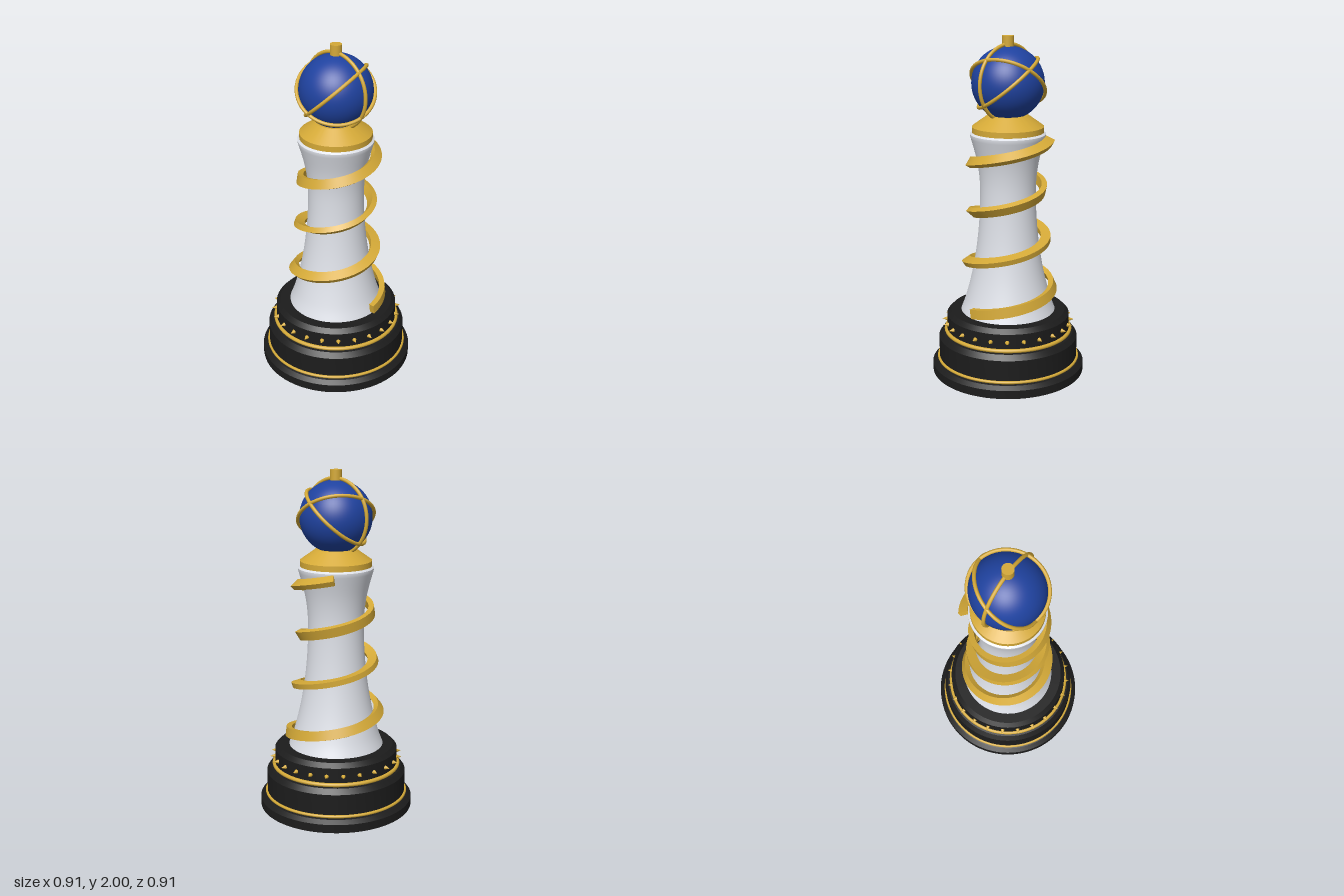
import * as THREE from 'three';
import { toCreasedNormals } from 'three/addons/utils/BufferGeometryUtils.js';

const mat = (name, color) => {
  const m = new THREE.MeshStandardMaterial({ color });
  m.name = name;
  return m;
};

// Spiral that climbs the column, its radius following the column's waist
class Spiral extends THREE.Curve {
  constructor() {
    super();
    const radii = [0.29, 0.272, 0.26, 0.246, 0.237, 0.226, 0.219, 0.215, 0.212, 0.208, 0.206, 0.212, 0.224, 0.236, 0.242];
    this.profile = new THREE.SplineCurve(radii.map((r, i) => new THREE.Vector2(i, r)));
  }
  getPoint(u, target = new THREE.Vector3()) {
    const turn = u * 3.35;
    const r = this.profile.getPoint(turn / 3.5).y;
    const a = turn * Math.PI * 2;
    return target.set(r * Math.cos(a), 0.42 + 0.297 * turn, -r * Math.sin(a));
  }
}

export function createModel() {
  const model = new THREE.Group();
  model.name = 'trophy';
  const black = mat('black', 0x1c1c1c);
  const gold = mat('gold', 0xd4a937);
  const white = mat('silver white', 0xe0e3ea);
  const blue = mat('blue', 0x1f429f);

  const add = (name, geometry, material, parent = model) => {
    const mesh = new THREE.Mesh(geometry, material);
    mesh.name = name;
    parent.add(mesh);
    return mesh;
  };
  const lathe = (pts) =>
    toCreasedNormals(new THREE.LatheGeometry(pts.map(([r, y]) => new THREE.Vector2(r, y)), 72), 0.35);

  // Stepped plinth
  add('plinth', lathe([
    [0, 0], [0.455, 0], [0.455, 0.05], [0.43, 0.07], [0.415, 0.075], [0.415, 0.215],
    [0.392, 0.245], [0.367, 0.25], [0.365, 0.355], [0.34, 0.38], [0, 0.38],
  ]), black);

  // Gold bands around the plinth
  for (const [name, r, tube, y] of [['lowerBand', 0.418, 0.009, 0.084], ['upperBand', 0.371, 0.012, 0.257]]) {
    const band = add(name, new THREE.TorusGeometry(r, tube, 10, 96), gold);
    band.rotation.x = Math.PI / 2;
    band.position.y = y;
  }

  // Ring of pointed studs
  const studs = new THREE.Group();
  studs.name = 'studs';
  model.add(studs);
  const studGeo = new THREE.ConeGeometry(0.014, 0.034, 12);
  studGeo.rotateZ(-Math.PI / 2);
  studGeo.translate(0.379, 0.306, 0);
  for (let i = 0; i < 24; i++) add('stud', studGeo, gold, studs).rotation.y = (i * Math.PI) / 12;

  // Waisted column with a flared top
  const side = new THREE.SplineCurve([
    [0.28, 0.38], [0.251, 0.46], [0.215, 0.6], [0.188, 0.75], [0.171, 0.9], [0.163, 1.05],
    [0.165, 1.18], [0.182, 1.3], [0.218, 1.435],
  ].map(([r, y]) => new THREE.Vector2(r, y))).getPoints(48).map((p) => [p.x, p.y]);
  add('column', lathe([...side, [0.218, 1.445], [0.2, 1.458], [0, 1.458]]), white);

  // Spiral ribbon
  const w = 0.016, h = 0.0285;
  const section = new THREE.Shape([
    new THREE.Vector2(-w, -h), new THREE.Vector2(w, -h), new THREE.Vector2(w, h), new THREE.Vector2(-w, h),
  ]);
  add('spiralRibbon', toCreasedNormals(new THREE.ExtrudeGeometry(section, {
    steps: 220, bevelEnabled: false, extrudePath: new Spiral(),
  }), 0.5), gold);

  // Collar that holds the ball
  add('collar', lathe([[0, 1.455], [0.207, 1.455], [0.207, 1.487], [0.115, 1.553], [0, 1.553]]), gold);

  // Ball with three great-circle hoops and a stub on top
  const ball = new THREE.Group();
  ball.name = 'ball';
  ball.position.y = 1.735;
  model.add(ball);
  add('globe', new THREE.SphereGeometry(0.208, 64, 40), blue, ball);
  const hoopGeo = new THREE.TorusGeometry(0.217, 0.0105, 10, 96);
  const zAxis = new THREE.Vector3(0, 0, 1);
  for (const n of [[0, 0, 1], [0.469, 0.768, 0.417], [-0.625, 0.737, 0.256]]) {
    add('hoop', hoopGeo, gold, ball).quaternion
      .setFromUnitVectors(zAxis, new THREE.Vector3(...n).normalize());
  }
  add('finial', new THREE.CylinderGeometry(0.033, 0.033, 0.065, 32), gold, ball).position.y = 0.2325;

  return model;
}
